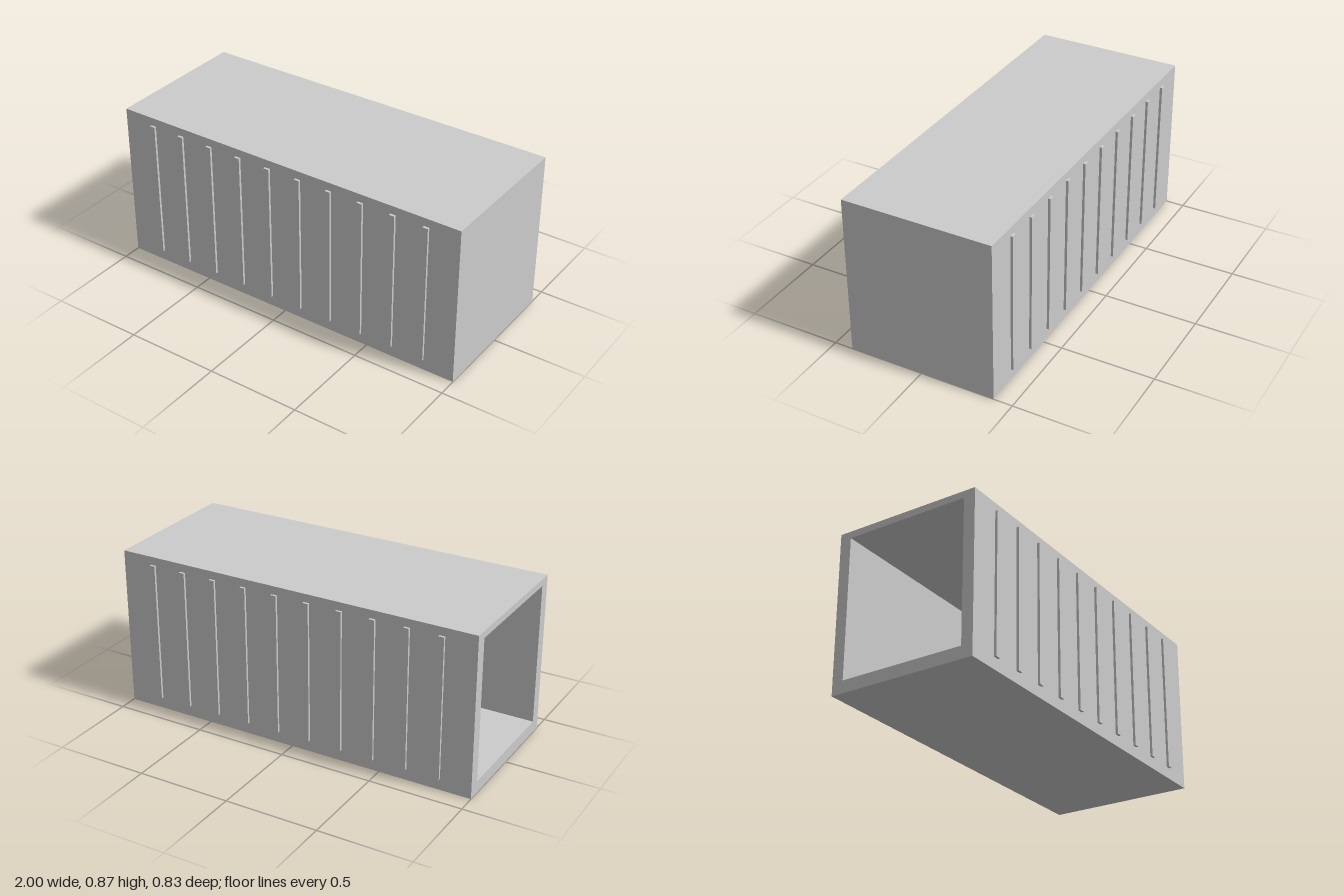
import * as THREE from 'three';

const L = 2, H = 0.865, W = 0.8;
const SIDE = 0.062, FLOOR = 0.066, ROOF = 0.037, FRAME = 0.06;

const material = new THREE.MeshStandardMaterial({ color: 0xcccccc });

function addMesh(parent, name, geometry, x = 0, y = 0, z = 0) {
  const mesh = new THREE.Mesh(geometry, material);
  mesh.name = name;
  mesh.position.set(x, y, z);
  parent.add(mesh);
  return mesh;
}

// Rectangular tube section running along +x from the local origin
function tubeSection(length) {
  const w = W / 2, i = w - SIDE;
  const shape = new THREE.Shape([[-w, 0], [w, 0], [w, H], [-w, H]].map(p => new THREE.Vector2(...p)));
  shape.holes.push(new THREE.Path(
    [[-i, FLOOR], [-i, H - ROOF], [i, H - ROOF], [i, FLOOR]].map(p => new THREE.Vector2(...p))));
  return new THREE.ExtrudeGeometry(shape, { depth: length, bevelEnabled: false }).rotateY(Math.PI / 2);
}

export function createModel() {
  const model = new THREE.Group();
  model.name = 'container';

  // Door frame at the open end, then walls, floor and roof in one shell
  addMesh(model, 'doorFrame', tubeSection(FRAME), -L / 2);
  addMesh(model, 'shell', tubeSection(L - 2 * FRAME), -L / 2 + FRAME);

  // Closed end
  addMesh(model, 'endWall', new THREE.BoxGeometry(FRAME, H, W), L / 2 - FRAME / 2, H / 2);

  // Ten upright ribs on each long side
  const ribBottom = 0.062, ribTop = 0.821, ribDepth = 0.026;
  const rib = new THREE.BoxGeometry(0.03, ribTop - ribBottom, ribDepth);
  for (const side of [1, -1]) {
    const ribs = new THREE.Group();
    ribs.name = side > 0 ? 'frontRibs' : 'backRibs';
    for (let i = 0; i < 10; i++) {
      addMesh(ribs, 'rib', rib, (i - 4.5) * 0.1818, (ribTop + ribBottom) / 2, side * W / 2);
    }
    model.add(ribs);
  }
  return model;
}
